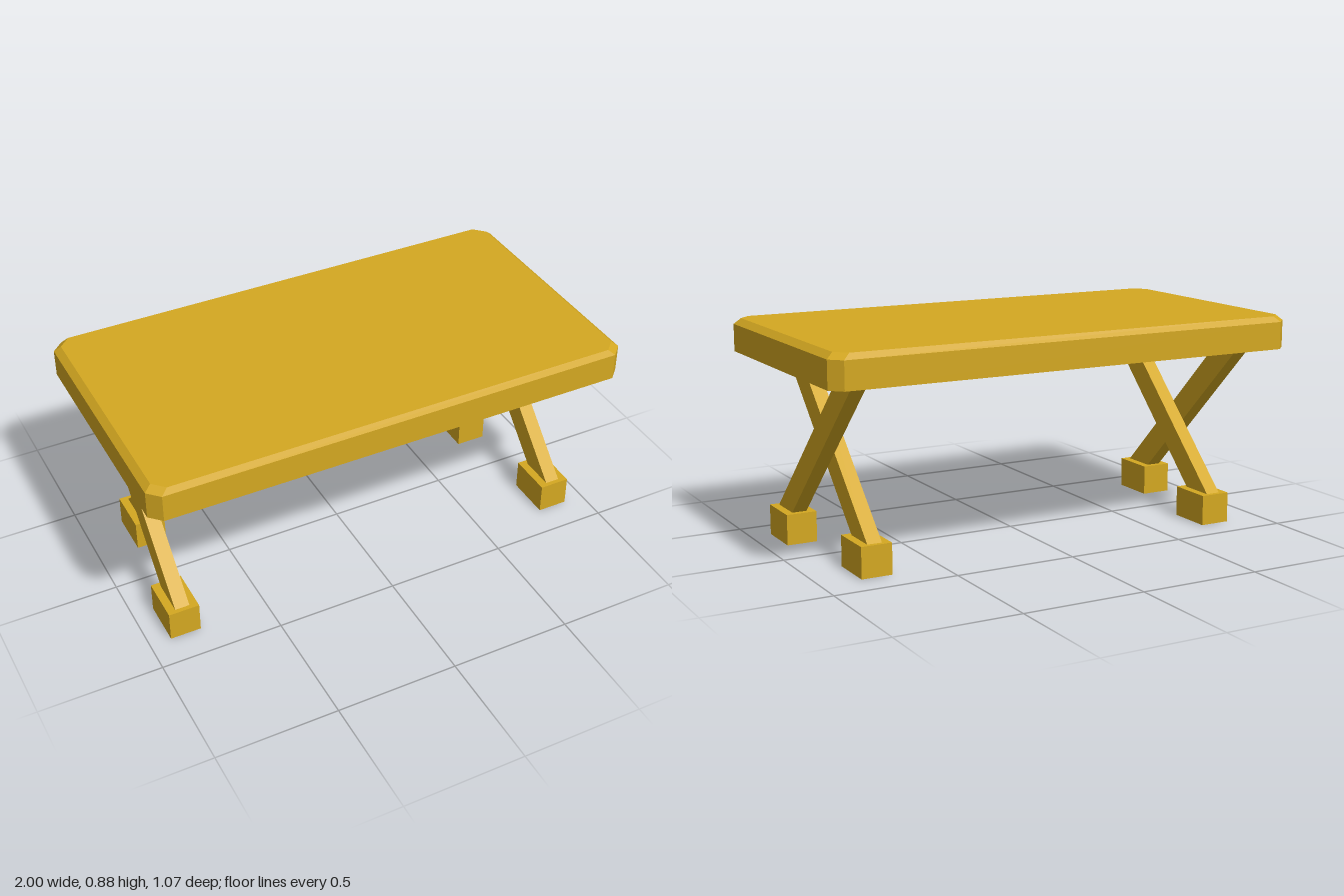
import * as THREE from 'three';

const material = new THREE.MeshStandardMaterial({ color: 0xd4a821, flatShading: true });

// Rectangle with cut corners, as [x, z] points running anticlockwise in x/z
function octagon(hx, hz, cut) {
  const cx = hx - cut, cz = hz - cut;
  return [[hx, -cz], [hx, cz], [cx, hz], [-cx, hz], [-hx, cz], [-hx, -cz], [-cx, -hz], [cx, -hz]];
}

// Solid through stacked rings, closed at both ends
function loft(rings) {
  const n = rings[0].points.length;
  const position = [], index = [];
  for (const { y, points } of rings) for (const [x, z] of points) position.push(x, y, z);
  for (let r = 0; r < rings.length - 1; r++) {
    for (let i = 0; i < n; i++) {
      const a = r * n + i, b = r * n + (i + 1) % n;
      index.push(a, a + n, b, b, a + n, b + n);
    }
  }
  const top = (rings.length - 1) * n;
  for (let i = 1; i < n - 1; i++) {
    index.push(0, i, i + 1);
    index.push(top, top + i + 1, top + i);
  }
  const indexed = new THREE.BufferGeometry();
  indexed.setAttribute('position', new THREE.Float32BufferAttribute(position, 3));
  indexed.setIndex(index);
  const geometry = indexed.toNonIndexed();
  geometry.computeVertexNormals();
  return geometry;
}

function addMesh(parent, name, geometry) {
  const mesh = new THREE.Mesh(geometry, material);
  mesh.name = name;
  parent.add(mesh);
  return mesh;
}

// Slanted bar cut level at both ends, its foot on the side given by dir (+1 front, -1 back)
function addLeg(parent, name, x, dir) {
  const width = 0.06, halfCut = 0.073;
  const leg = new THREE.Group();
  leg.name = name;
  const zLow = 0.28 * dir, zHigh = -0.358 * dir;
  const bar = loft([
    { y: 0.125, z: zLow },
    { y: 0.747, z: zHigh },
  ].map(({ y, z }) => ({
    y,
    points: [[width / 2, z - halfCut], [width / 2, z + halfCut], [-width / 2, z + halfCut], [-width / 2, z - halfCut]],
  })));
  addMesh(leg, 'legBar', bar).position.x = x;
  const foot = addMesh(leg, 'foot', new THREE.BoxGeometry(0.126, 0.125, 0.189));
  foot.position.set(x, 0.0625, 0.277 * dir);
  parent.add(leg);
}

export function createModel() {
  const table = new THREE.Group();
  table.name = 'table';

  // Top slab with cut corners and a chamfered upper edge
  addMesh(table, 'tabletop', loft([
    { y: 0.747, points: octagon(1, 0.533, 0.046) },
    { y: 0.858, points: octagon(1, 0.533, 0.046) },
    { y: 0.881, points: octagon(0.973, 0.518, 0.045) },
  ]));

  // Crossed legs, mirrored at both ends
  for (const [side, s] of [['left', 1], ['right', -1]]) {
    addLeg(table, side + 'OuterLeg', s * 0.85, 1);
    addLeg(table, side + 'InnerLeg', s * 0.772, -1);
  }
  return table;
}
